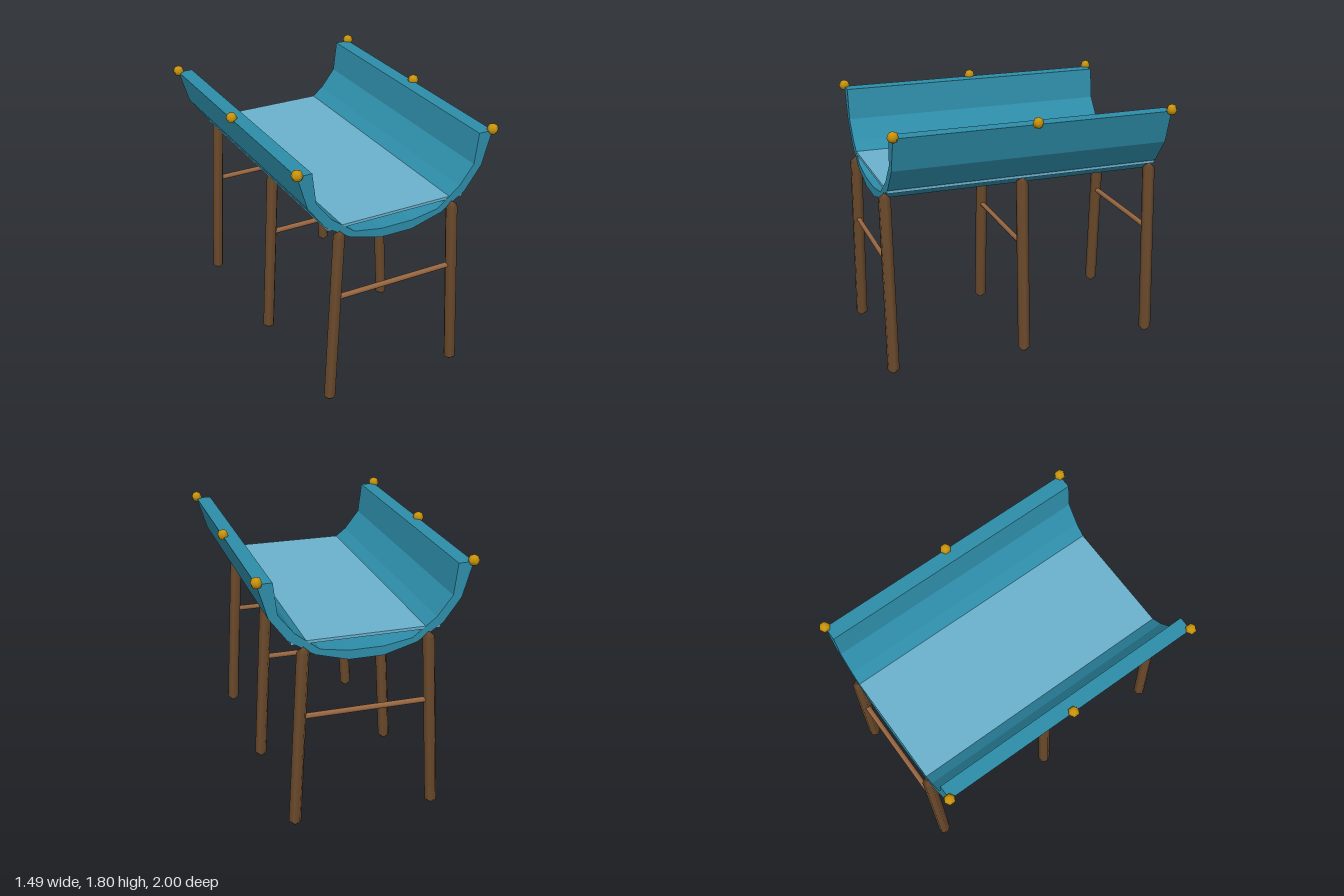
import * as THREE from 'three';

export function createModel() {
  const model = new THREE.Group();
  model.name = 'waterTrough';

  const paint = (name, color) => {
    const m = new THREE.MeshStandardMaterial({ color });
    m.name = name;
    return m;
  };
  const teal = paint('tealTrough', 0x2e8da9);
  const water = paint('paleWater', 0x6bb0cd);
  const darkWood = paint('darkWood', 0x6b4a2c);
  const lightWood = paint('lightWood', 0x9a6842);
  const gold = paint('gold', 0xcb950c);

  const add = (name, geometry, material, x = 0, y = 0, z = 0) => {
    const mesh = new THREE.Mesh(geometry, material);
    mesh.name = name;
    mesh.position.set(x, y, z);
    model.add(mesh);
    return mesh;
  };

  const half = 0.96;

  // Trough: mirrored faceted U section, extruded along z
  const outer = [[0.71, 1.75], [0.64, 1.517], [0.52, 1.355], [0.342, 1.24], [0.117, 1.177]];
  const inner = [[0.607, 1.75], [0.58, 1.535], [0.474, 1.4], [0.31, 1.274], [0.117, 1.241]];
  const mirror = (pts) => pts.map(([x, y]) => [-x, y]);
  const section = [
    ...mirror(outer), ...[...outer].reverse(),
    ...inner, ...mirror(inner).reverse(),
  ].map(([x, y]) => new THREE.Vector2(x, y));
  const shell = new THREE.ExtrudeGeometry(new THREE.Shape(section), { depth: 2 * half, bevelEnabled: false });
  add('trough', shell, teal, 0, 0, -half);

  // Water sheet, its edges just reaching through the walls
  add('water', new THREE.BoxGeometry(1.0, 0.02, 2 * half - 0.002), water, 0, 1.333, 0);

  // Six-sided pole with pointed ends
  const legProfile = [[0, 0], [0.043, 0.038], [0.043, 1.267], [0, 1.305]]
    .map(([r, y]) => new THREE.Vector2(r, y));
  const legGeometry = new THREE.LatheGeometry(legProfile, 6, Math.PI / 2);
  const railGeometry = new THREE.CylinderGeometry(0.019, 0.019, 0.85, 6).rotateZ(Math.PI / 2);
  const knobGeometry = new THREE.SphereGeometry(0.039, 6, 4).rotateY(Math.PI / 2);

  // Three trestles, with rim knobs above each
  for (const z of [-half, 0, half]) {
    for (const side of [-1, 1]) {
      const leg = add(side > 0 ? 'leftLeg' : 'rightLeg', legGeometry, darkWood, side * 0.488, 0.003, z);
      leg.rotation.z = side * 0.052;
      add(side > 0 ? 'leftKnob' : 'rightKnob', knobGeometry, gold, side * 0.709, 1.76, z);
    }
    add('crossRail', railGeometry, lightWood, 0, 0.816, z);
  }

  return model;
}
